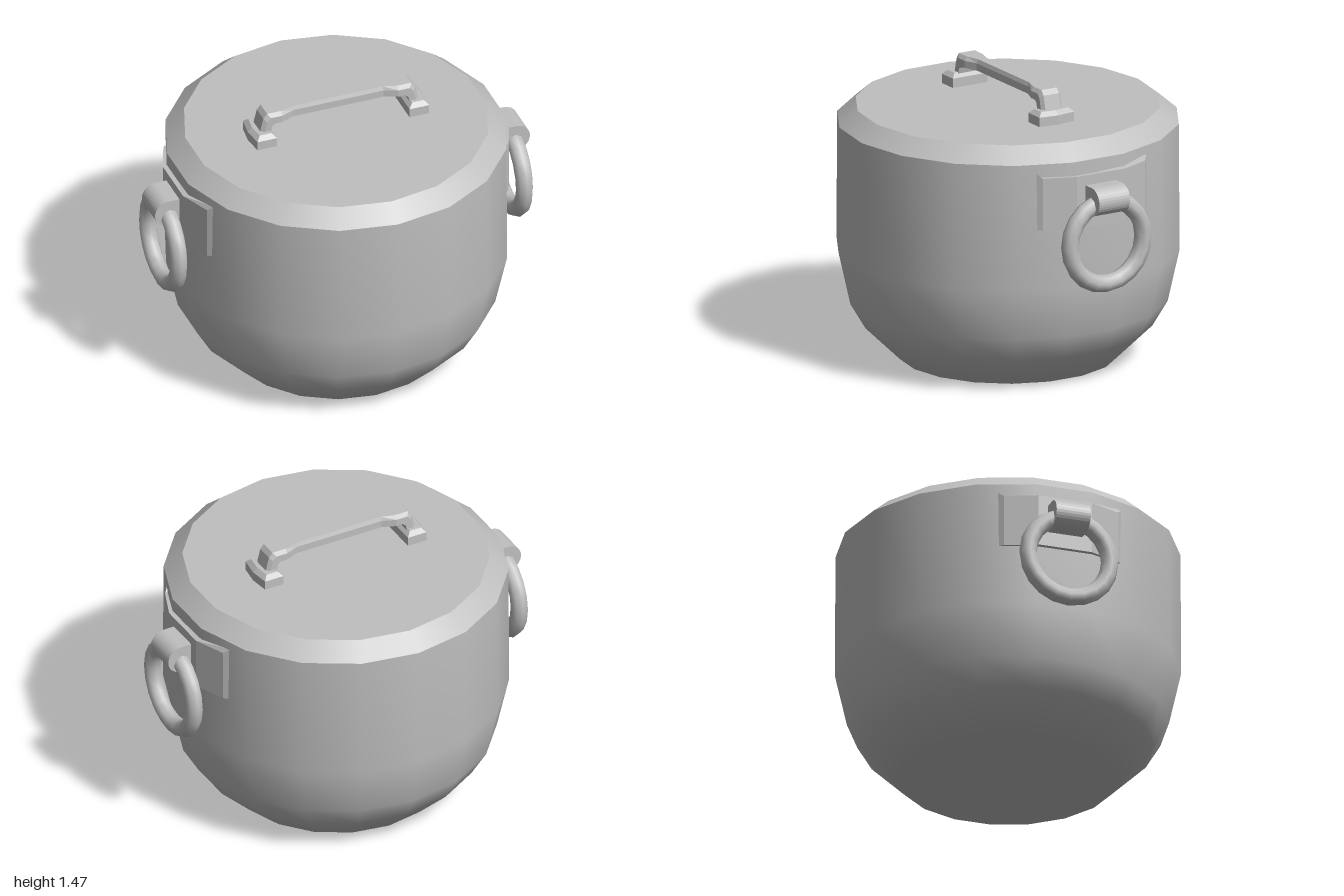
import * as THREE from 'three';

const metal = new THREE.MeshStandardMaterial({ color: 0xbfbfbf });
metal.name = 'grey metal';

const v2 = (pts) => pts.map(([x, y]) => new THREE.Vector2(x, y));

function add(parent, name, geometry) {
  const mesh = new THREE.Mesh(geometry, metal);
  mesh.name = name;
  parent.add(mesh);
  return mesh;
}

// Eighteen-sided turned surface, smooth around and along its profile
const turned = (pts) => new THREE.LatheGeometry(v2(pts), 18);

// Plan outline (x, z) raised upwards from y = 0
function raised(outline, options) {
  const shape = new THREE.Shape(v2(outline));
  return new THREE.ExtrudeGeometry(shape, options).rotateX(-Math.PI / 2);
}

// Lid handle: six-sided section swept along an arch, wide at the ends
function handleGeometry() {
  // outer x, outer y, inner x, inner y, half width
  const half = [
    [0.43, 1.34, 0.375, 1.34, 0.06],
    [0.405, 1.44, 0.362, 1.395, 0.06],
    [0.385, 1.465, 0.345, 1.408, 0.06],
    [0.31, 1.465, 0.31, 1.408, 0.06],
    [0.24, 1.465, 0.24, 1.408, 0.033],
  ];
  const mirrored = half.map(([a, b, c, d, w]) => [-a, b, -c, d, w]).reverse();
  const section = [[0, -1], [0, 1], [0.65, 1], [1, 0.75], [1, -0.75], [0.65, -1]];
  const stations = [...half, ...mirrored];
  const n = section.length;
  const pos = [];
  const index = [];
  stations.forEach(([ox, oy, ix, iy, w], i) => {
    section.forEach(([t, s], j) => {
      pos.push(ix + (ox - ix) * t, iy + (oy - iy) * t, w * s);
      if (i === stations.length - 1) return;
      const a = i * n + j;
      const b = i * n + ((j + 1) % n);
      index.push(a, b, b + n, a, b + n, a + n);
    });
  });
  const indexed = new THREE.BufferGeometry();
  indexed.setAttribute('position', new THREE.Float32BufferAttribute(pos, 3));
  indexed.setIndex(index);
  const geometry = indexed.toNonIndexed();
  geometry.computeVertexNormals();
  return geometry;
}

// Mounting plate wrapped on the pot wall, with flared upper corners
function plateGeometry() {
  const geometry = raised([
    [0.7, -0.325], [0.775, -0.33], [0.805, -0.3], [0.87, -0.14],
    [0.87, 0.14], [0.805, 0.3], [0.775, 0.33], [0.7, 0.325],
  ], { depth: 0.27, bevelEnabled: false });
  geometry.translate(0, 0.88, 0);
  const p = geometry.attributes.position;
  for (let i = 0; i < p.count; i++) {
    if (Math.abs(p.getZ(i)) > 0.31 && p.getY(i) > 1) p.setY(i, 1.18);
  }
  geometry.computeVertexNormals();
  return geometry;
}

// Round-nosed block that holds the ring
function lugGeometry() {
  const shape = new THREE.Shape();
  shape.moveTo(0.82, 0.955);
  shape.lineTo(0.93, 0.955);
  shape.absarc(0.928, 1.027, 0.072, -Math.PI / 2, Math.PI / 2, false);
  shape.lineTo(0.82, 1.099);
  shape.closePath();
  return new THREE.ExtrudeGeometry(shape, { depth: 0.18, bevelEnabled: false, curveSegments: 8 })
    .translate(0, 0, -0.09);
}

export function createModel() {
  const model = new THREE.Group();
  model.name = 'cookingPot';

  add(model, 'potBody', turned([
    [0, 0], [0.55, 0], [0.725, 0.17], [0.802, 0.3], [0.862, 0.57], [0.858, 1.22],
  ]));
  add(model, 'lidBevel', turned([[0.858, 1.22], [0.765, 1.3]]));
  add(model, 'lidTop', turned([[0.765, 1.3], [0, 1.3]]));

  // Lid handle and its two feet
  const lidHandle = new THREE.Group();
  lidHandle.name = 'lidHandle';
  model.add(lidHandle);
  add(lidHandle, 'handleBar', handleGeometry());
  const footOutline = [[0.375, -0.08], [0.438, -0.08], [0.448, 0], [0.438, 0.08], [0.375, 0.08]];
  for (const side of [0, 1]) {
    const foot = raised(footOutline, {
      depth: 0.05, bevelThickness: 0.022, bevelSize: 0.022, bevelSegments: 1,
    });
    add(lidHandle, side ? 'rightHandleFoot' : 'leftHandleFoot', foot.translate(0, 1.298, 0))
      .rotation.y = side * Math.PI;
  }

  // Side carrying rings
  for (const side of [0, 1]) {
    const grip = new THREE.Group();
    grip.name = side ? 'rightRingHandle' : 'leftRingHandle';
    grip.rotation.y = side * Math.PI;
    model.add(grip);
    add(grip, 'mountingPlate', plateGeometry());
    add(grip, 'ringLug', lugGeometry());
    const ring = new THREE.TorusGeometry(0.215, 0.045, 8, 20).rotateY(Math.PI / 2);
    add(grip, 'ring', ring.translate(0.922, 0.805, 0));
  }
  return model;
}
